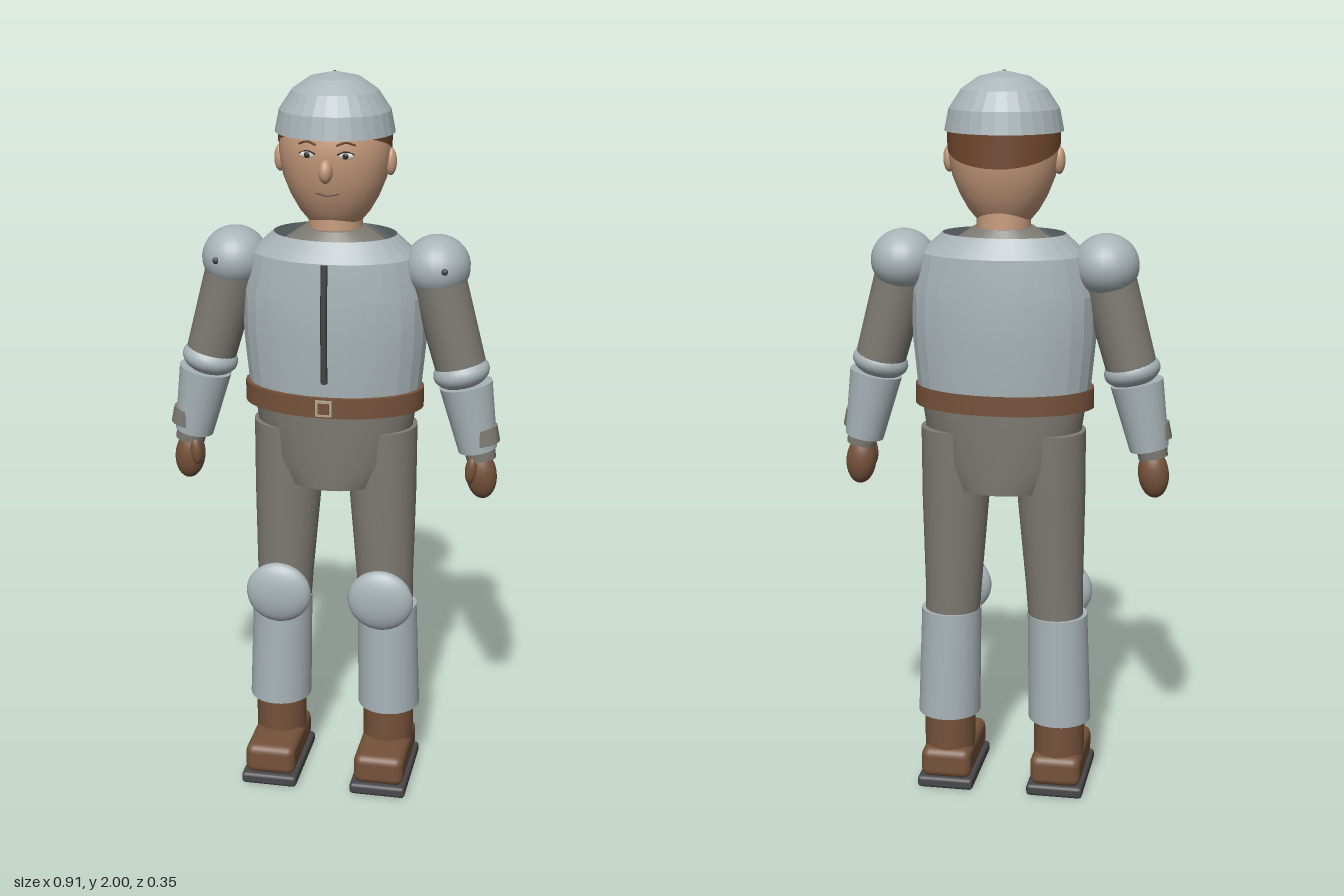
import * as THREE from 'three';
import { toCreasedNormals } from 'three/addons/utils/BufferGeometryUtils.js';
import { RoundedBoxGeometry } from 'three/addons/geometries/RoundedBoxGeometry.js';

const mat = (name, color, side = THREE.FrontSide) => {
  const m = new THREE.MeshStandardMaterial({ color, side });
  m.name = name;
  return m;
};

// Stacked ellipses, bottom to top: [y, rx, rz, cx, cz]
function loft(rings, { seg = 28, caps = true, crease = 0.6 } = {}) {
  const pos = [], idx = [];
  for (const [y, rx, rz, cx = 0, cz = 0] of rings) {
    for (let i = 0; i < seg; i++) {
      const a = (i / seg) * Math.PI * 2;
      pos.push(cx + rx * Math.sin(a), y, cz + rz * Math.cos(a));
    }
  }
  for (let r = 0; r < rings.length - 1; r++) {
    for (let i = 0; i < seg; i++) {
      const j = (i + 1) % seg, a = r * seg + i, b = r * seg + j;
      idx.push(a, b, b + seg, a, b + seg, a + seg);
    }
  }
  if (caps) {
    const n = pos.length / 3, last = (rings.length - 1) * seg;
    for (const [y, , , cx = 0, cz = 0] of [rings[0], rings[rings.length - 1]]) pos.push(cx, y, cz);
    for (let i = 0; i < seg; i++) {
      const j = (i + 1) % seg;
      idx.push(n, j, i, n + 1, last + i, last + j);
    }
  }
  const g = new THREE.BufferGeometry();
  g.setAttribute('position', new THREE.Float32BufferAttribute(pos, 3));
  g.setIndex(idx);
  return toCreasedNormals(g, crease);
}

export function createModel() {
  const model = new THREE.Group();
  model.name = 'armouredFigure';
  const armour = mat('armour', 0xa9b4b8, THREE.DoubleSide);
  const cloth = mat('cloth', 0x7f7b74);
  const skin = mat('skin', 0xc59a7c);
  const leather = mat('leather', 0x75523a);
  const hairMat = mat('hair', 0x6f472d, THREE.DoubleSide);
  const sole = mat('sole', 0x48484a);
  const dark = mat('dark', 0x2e2a28);
  const white = mat('eyeWhite', 0xd8d6d0);
  const lip = mat('lip', 0x6e4035);
  const metal = mat('buckleMetal', 0xb0a48e);

  const add = (name, geo, m, x = 0, y = 0, z = 0, rz = 0) => {
    const mesh = new THREE.Mesh(geo, m);
    mesh.name = name;
    mesh.position.set(x, y, z);
    mesh.rotation.z = rz;
    model.add(mesh);
    return mesh;
  };
  const ball = (name, m, r, p, rz = 0, seg = 24) =>
    add(name, new THREE.SphereGeometry(1, seg, Math.ceil(seg * 0.67)), m, ...p, rz).scale.set(...r);
  const line = (name, m, pts, r) => {
    const curve = new THREE.CatmullRomCurve3(pts.map(p => new THREE.Vector3(...p)));
    add(name, new THREE.TubeGeometry(curve, 8, r, 6), m);
  };

  // Helmet: faceted dome with a tiny stud
  const dome = [0, 22, 44, 65, 89].map(d => {
    const a = d * Math.PI / 180;
    return [1.845 + 0.153 * Math.sin(a), 0.157 * Math.cos(a), 0.146 * Math.cos(a)];
  });
  add('helmet', loft(dome, { caps: false, crease: 0.15 }), armour, 0, 0, -0.018);
  ball('helmetStud', sole, [0.005, 0.004, 0.005], [0, 1.996, -0.018], 0, 8);

  // Head and neck
  const headProfile = [[1.6, 0.05], [1.615, 0.073], [1.64, 0.094], [1.68, 0.117], [1.73, 0.137],
    [1.79, 0.147], [1.85, 0.145], [1.91, 0.115]];
  add('head', loft(headProfile.map(([y, r]) => [y, r, r * 0.845]), { seg: 32, crease: 0.9 }), skin, 0, 0, -0.02);
  add('neck', loft([[1.53, 0.075, 0.078], [1.64, 0.07, 0.073]]), skin, 0, 0, -0.025);

  // Hair: band whose lower edge drops toward the nape
  const hairGeo = loft([[1.75, 0.149, 0.127], [1.87, 0.15, 0.127]], { seg: 32, caps: false });
  const hp = hairGeo.attributes.position;
  for (let i = 0; i < hp.count; i++) {
    if (hp.getY(i) < 1.8) hp.setY(i, 1.808 + 0.4 * hp.getZ(i));
  }
  add('hair', hairGeo, hairMat, 0, 0, -0.02);

  // Face
  ball('nose', skin, [0.018, 0.03, 0.023], [0, 1.763, 0.11]);
  line('mouth', lip, [[-0.03, 1.703, 0.083], [0, 1.698, 0.088], [0.03, 1.703, 0.083]], 0.003);
  for (const s of [1, -1]) {
    ball('ear', skin, [0.016, 0.036, 0.02], [s * 0.146, 1.77, -0.02]);
    ball('eye', white, [0.02, 0.009, 0.005], [s * 0.05, 1.803, 0.097]);
    ball('iris', dark, [0.008, 0.008, 0.004], [s * 0.05, 1.803, 0.101], 0, 12);
    line('eyelid', dark, [[s * 0.028, 1.806, 0.102], [s * 0.05, 1.814, 0.1], [s * 0.071, 1.806, 0.091]], 0.002);
    line('eyebrow', hairMat, [[s * 0.026, 1.829, 0.102], [s * 0.05, 1.837, 0.097], [s * 0.073, 1.829, 0.087]], 0.003);
  }

  // Chest armour shell over a cloth tunic
  add('chestArmour', loft([[1.165, 0.236, 0.147], [1.3, 0.249, 0.155], [1.42, 0.25, 0.155],
    [1.525, 0.224, 0.145], [1.578, 0.165, 0.117]], { caps: false, crease: 0.2 }), armour, 0, 0, -0.02);
  add('tunic', loft([[1.12, 0.225, 0.135], [1.4, 0.235, 0.14], [1.5, 0.2, 0.125],
    [1.555, 0.14, 0.1], [1.595, 0.08, 0.082]]), cloth, 0, 0, -0.02);
  line('chestSeam', sole, [[0, 1.525, 0.128], [0, 1.42, 0.137], [0, 1.3, 0.137], [0, 1.205, 0.132]], 0.009);

  // Belt and buckle
  add('belt', loft([[1.11, 0.244, 0.15], [1.165, 0.244, 0.15]], { seg: 40 }), leather, 0, 0, -0.012);
  add('buckle', new THREE.BoxGeometry(0.044, 0.044, 0.012), metal, 0, 1.138, 0.138);
  add('bucklePlate', new THREE.BoxGeometry(0.03, 0.03, 0.008), leather, 0, 1.138, 0.142);

  // Pelvis
  add('pelvis', loft([[0.885, 0.14, 0.115], [0.96, 0.2, 0.122], [1.13, 0.225, 0.128]]), cloth, 0, 0, -0.026);

  for (const s of [1, -1]) {
    // Leg and shin guard
    add('trouserLeg', loft([[0.4, 0.072, 0.07, s * 0.15, -0.02], [0.6, 0.079, 0.074, s * 0.142, -0.022],
      [0.85, 0.092, 0.092, s * 0.133, -0.028], [1.05, 0.092, 0.1, s * 0.133, -0.03]]), cloth);
    add('shinGuard', loft([[0.21, 0.087, 0.088, s * 0.158, -0.016],
      [0.52, 0.083, 0.086, s * 0.15, -0.016]]), armour);
    ball('kneePad', armour, [0.092, 0.088, 0.035], [s * 0.144, 0.56, 0.066]);

    // Boot
    add('bootShaft', loft([[0.06, 0.07, 0.073], [0.23, 0.072, 0.074]]), leather, s * 0.157, 0, -0.016);
    add('bootFoot', new RoundedBoxGeometry(0.142, 0.088, 0.262, 3, 0.024), leather, s * 0.156, 0.071, 0.03);
    add('bootSole', new RoundedBoxGeometry(0.158, 0.033, 0.28, 2, 0.01), sole, s * 0.156, 0.0165, 0.032);

    // Arm, tilted outward
    ball('shoulderPad', armour, [0.088, 0.084, 0.095], [s * 0.273, 1.498, -0.02]);
    ball('shoulderRivet', sole, [0.009, 0.009, 0.008], [s * 0.304, 1.506, 0.068], 0, 10);
    add('upperArm', loft([[-0.15, 0.068, 0.066], [0.13, 0.074, 0.074]]), cloth, s * 0.309, 1.35, -0.012, s * 0.27);
    ball('elbowPad', armour, [0.077, 0.045, 0.074], [s * 0.345, 1.215, -0.008], s * 0.25);
    add('forearmGuard', loft([[-0.095, 0.053, 0.054], [0.09, 0.072, 0.068]]), armour,
      s * 0.376, 1.095, -0.006, s * 0.2);
    add('sleeveCuff', loft([[-0.02, 0.046, 0.044], [0.025, 0.046, 0.044]]), cloth,
      s * 0.406, 1.043, 0.004, s * 0.2);
    add('wrist', loft([[-0.03, 0.04, 0.036], [0.04, 0.046, 0.042]]), cloth, s * 0.4, 1.005, 0, s * 0.2);

    // Gloved hand
    ball('hand', leather, [0.042, 0.068, 0.036], [s * 0.407, 0.93, 0], s * 0.1);
    ball('thumb', leather, [0.017, 0.04, 0.018], [s * 0.382, 0.95, 0.024], s * -0.1, 16);
  }
  return model;
}
